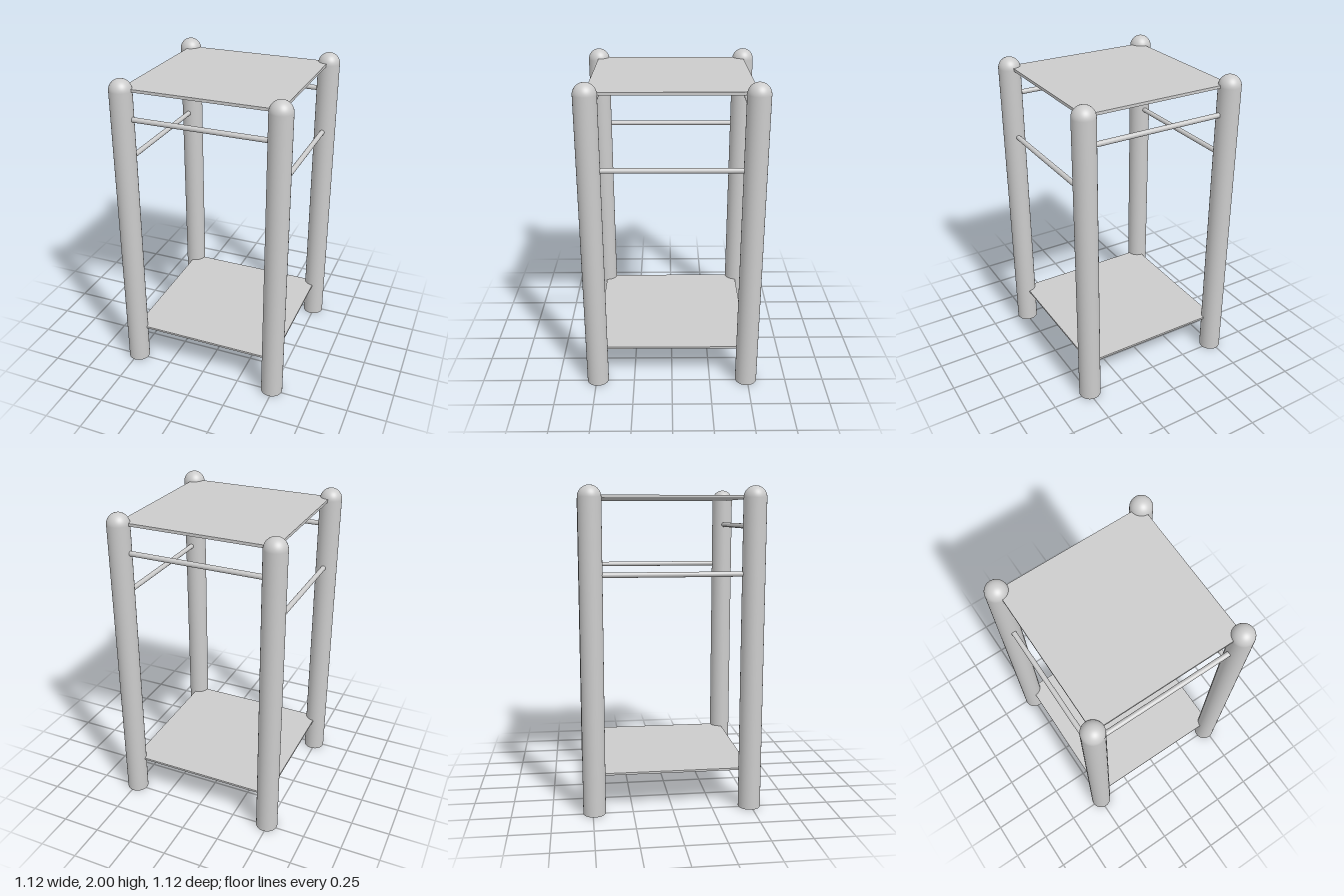
import * as THREE from 'three';

const HALF = 0.49;      // distance of the post axes from the centre
const POST_R = 0.07;
const POST_H = 1.93;
const RAIL_R = 0.016;

export function createModel() {
  const model = new THREE.Group();
  model.name = 'postFrame';
  const material = new THREE.MeshStandardMaterial({ color: 0xcccccc });

  const add = (name, geometry, x, y, z) => {
    const mesh = new THREE.Mesh(geometry, material);
    mesh.name = name;
    mesh.position.set(x, y, z);
    model.add(mesh);
    return mesh;
  };

  // Round posts with domed tops, turned as one profile
  const profile = [new THREE.Vector2(0, 0), new THREE.Vector2(POST_R, 0),
    new THREE.Vector2(POST_R, 0), new THREE.Vector2(POST_R, POST_H)];
  const shaft = new THREE.CylinderGeometry(POST_R, POST_R, POST_H, 48, 1, true);
  const foot = new THREE.CircleGeometry(POST_R, 48).rotateX(Math.PI / 2);
  const dome = new THREE.SphereGeometry(POST_R, 48, 16, 0, Math.PI * 2, 0, Math.PI / 2);
  for (const [sz, end] of [[1, 'front'], [-1, 'back']]) {
    for (const [sx, side] of [[1, 'Left'], [-1, 'Right']]) {
      const x = sx * HALF, z = sz * HALF;
      add(`${end}${side}Post`, shaft, x, POST_H / 2, z);
      add(`${end}${side}PostFoot`, foot, x, 0, z);
      add(`${end}${side}PostDome`, dome, x, POST_H, z);
    }
  }

  // Thin square panels between the posts
  add('topPanel', new THREE.BoxGeometry(HALF * 2, 0.018, HALF * 2), 0, 1.934, 0);
  add('lowerPanel', new THREE.BoxGeometry(HALF * 2, 0.013, HALF * 2), 0, 0.247, 0);

  // Rails: high on the front and back, lower on the two sides
  const rail = new THREE.CylinderGeometry(RAIL_R, RAIL_R, HALF * 2, 24);
  for (const s of [1, -1]) {
    add(s > 0 ? 'frontRail' : 'backRail', rail, 0, 1.758, s * HALF).rotation.z = Math.PI / 2;
    add(s > 0 ? 'leftRail' : 'rightRail', rail, s * HALF, 1.477, 0).rotation.x = Math.PI / 2;
  }

  return model;
}
